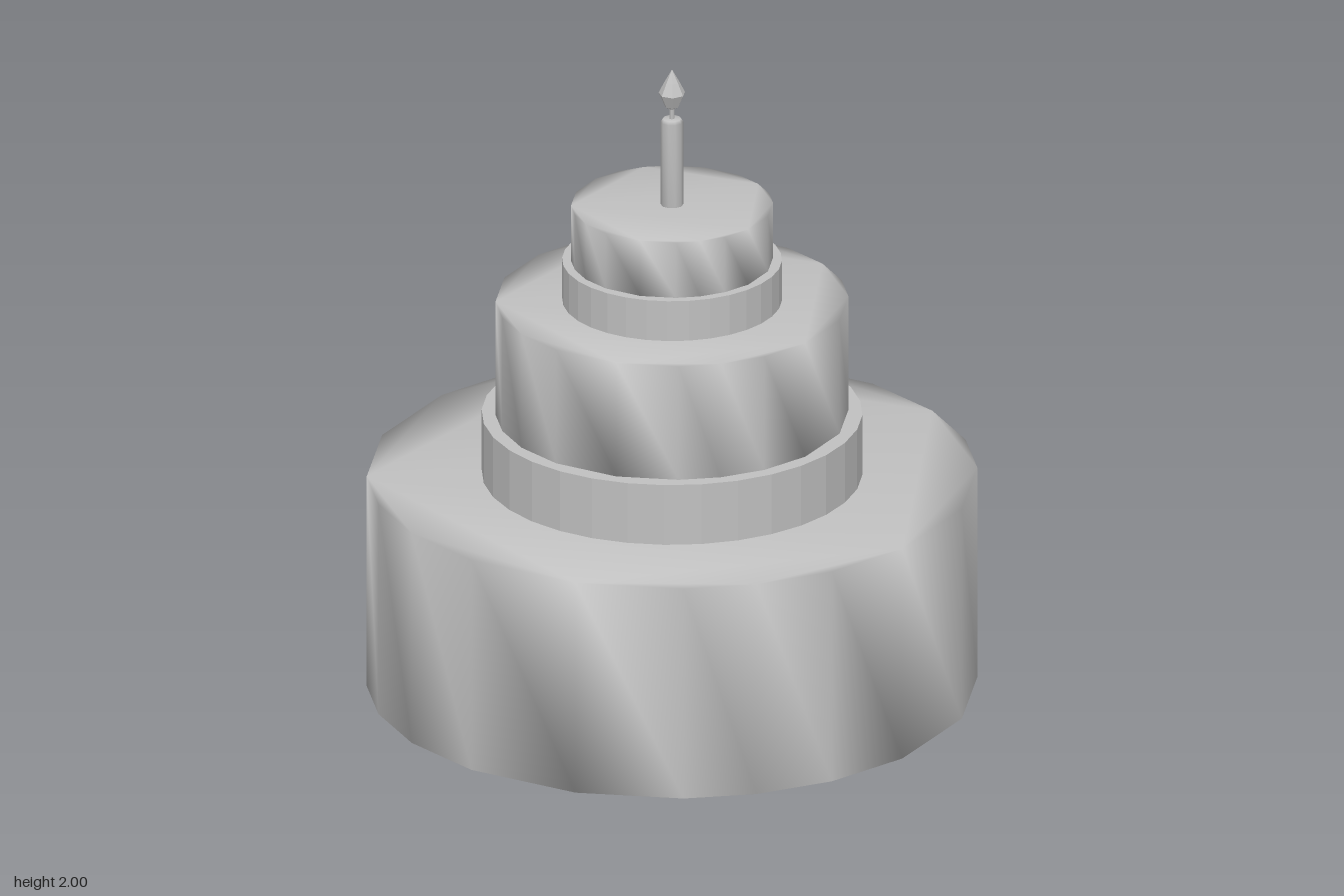
import * as THREE from 'three';
import { mergeVertices } from 'three/addons/utils/BufferGeometryUtils.js';

const cream = new THREE.MeshStandardMaterial({ color: 0xc0c0c0 });

// Normals shared across all edges, for a soft, rounded shading
function soften(geometry) {
  geometry.deleteAttribute('normal');
  geometry.deleteAttribute('uv');
  const merged = mergeVertices(geometry, 1e-4);
  merged.computeVertexNormals();
  return merged;
}

// One normal per face
function facet(geometry) {
  const flat = geometry.toNonIndexed();
  flat.computeVertexNormals();
  return flat;
}

// Slightly uneven twenty-sided outline: five corners repeated in each quarter turn
const cornerAngles = [5, 22.4, 37.9, 51.8, 72.4];

function tierGeometry(radius, bottom, top) {
  const points = [];
  for (let quarter = 0; quarter < 4; quarter++) {
    for (const degrees of cornerAngles) {
      const a = THREE.MathUtils.degToRad(degrees + quarter * 90);
      points.push(new THREE.Vector2(radius * Math.cos(a), -radius * Math.sin(a)));
    }
  }
  const geometry = new THREE.ExtrudeGeometry(new THREE.Shape(points), {
    depth: top - bottom, bevelEnabled: false,
  });
  geometry.rotateX(-Math.PI / 2).translate(0, bottom, 0);
  return soften(geometry);
}

function discGeometry(radius, bottom, top, sides) {
  return new THREE.CylinderGeometry(radius, radius, top - bottom, sides)
    .translate(0, (top + bottom) / 2, 0);
}

function latheGeometry(profile, sides) {
  return new THREE.LatheGeometry(profile.map(([r, y]) => new THREE.Vector2(r, y)), sides);
}

export function createModel() {
  const cake = new THREE.Group();
  cake.name = 'tieredCake';

  function add(name, geometry) {
    const mesh = new THREE.Mesh(geometry, cream);
    mesh.name = name;
    cake.add(mesh);
  }

  // Three soft cake tiers
  add('bottomTier', tierGeometry(0.922, 0, 0.685));
  add('middleTier', tierGeometry(0.533, 0.88, 1.25));
  add('topTier', tierGeometry(0.305, 1.38, 1.56));

  // Faceted spacer discs between the tiers
  add('lowerSpacer', facet(discGeometry(0.575, 0.685, 0.88, 32)));
  add('upperSpacer', facet(discGeometry(0.332, 1.25, 1.38, 32)));

  // Candle with a slightly rounded top, its wick and a faceted flame
  add('candle', soften(latheGeometry(
    [[0, 1.56], [0.034, 1.56], [0.034, 1.83], [0.028, 1.84], [0, 1.84]], 10)));
  add('wick', discGeometry(0.008, 1.835, 1.885, 6));
  add('flame', facet(latheGeometry(
    [[0, 1.868], [0.022, 1.88], [0.041, 1.922], [0.022, 1.96], [0, 2]], 7)));

  return cake;
}
